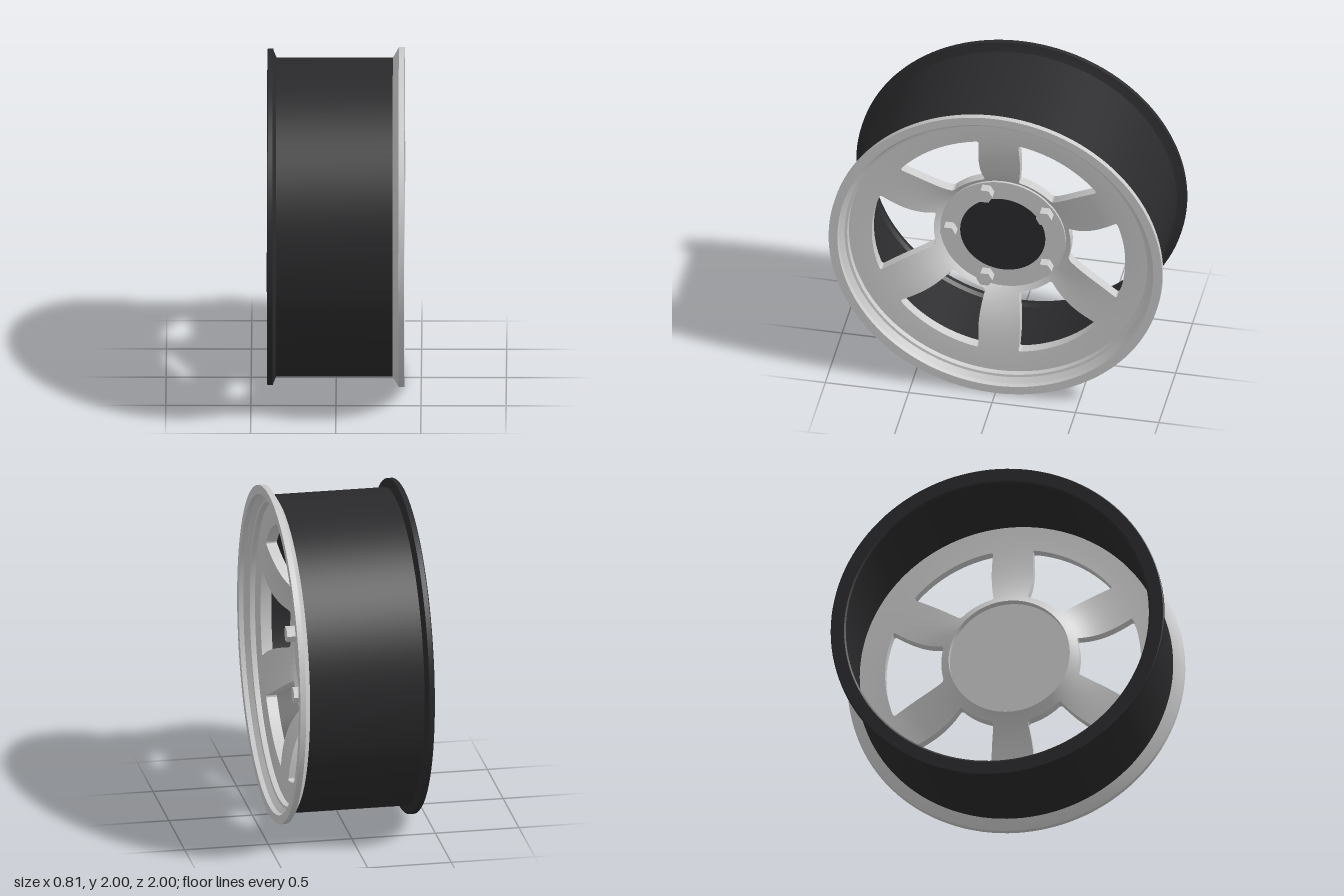
import * as THREE from 'three';
import { toCreasedNormals } from 'three/addons/utils/BufferGeometryUtils.js';

const grey = new THREE.MeshStandardMaterial({ color: 0xcccccc });
const dark = new THREE.MeshStandardMaterial({ color: 0x2a2a2c });

const HUB = 0.375, WIN_IN = 0.41, WIN_OUT = 0.76, THICK = 0.065;

// Dished front face of the wheel: depth along the axle for a given radius
const face = r => 0.32 - 0.155 * Math.exp(-6.5 * (r - HUB));

// Revolved part around the local z axis; points are [radius, depth]
function turned(name, points, material) {
  const profile = points.map(([r, d]) => new THREE.Vector2(r, d));
  const geometry = new THREE.LatheGeometry(profile, 120).rotateX(Math.PI / 2);
  const mesh = new THREE.Mesh(toCreasedNormals(geometry, 0.4), material);
  mesh.name = name;
  return mesh;
}

// Closed ring that follows the dished face between two radii
function dishedRing(name, r0, r1, steps) {
  const front = [], back = [];
  for (let i = 0; i <= steps; i++) {
    const r = r0 + (r1 - r0) * i / steps;
    back.push([r, face(r) - THICK]);
    front.unshift([r, face(r)]);
  }
  return turned(name, [...back, ...front, back[0]], grey);
}

// Half width of a spoke, bowed along its length, with small corner fillets
function spokeHalfWidth(s) {
  const fillet = 0.016;
  const d = Math.min(s, 1 - s) * (WIN_OUT - WIN_IN);
  const flare = d < fillet ? fillet - Math.sqrt(fillet ** 2 - (fillet - d) ** 2) : 0;
  return 0.1 + 0.018 * s + 0.014 * Math.sin(Math.PI * s) + flare;
}

function spokeGeometry() {
  const geometry = new THREE.BoxGeometry(2, 1, 1, 8, 64, 1);
  const p = geometry.attributes.position;
  for (let i = 0; i < p.count; i++) {
    const s = p.getY(i) + 0.5;
    const r = WIN_IN - 0.001 + (WIN_OUT - WIN_IN + 0.002) * s;
    const x = p.getX(i) * spokeHalfWidth(s);
    p.setXYZ(i, x, Math.sqrt(r * r - x * x), face(r) - (p.getZ(i) < 0 ? THICK : 0));
  }
  geometry.computeVertexNormals();
  return geometry;
}

export function createModel() {
  const model = new THREE.Group();
  model.name = 'wheelRim';
  const wheel = new THREE.Group();
  wheel.name = 'wheel';
  model.add(wheel);

  // Dark barrel with its rear flange
  wheel.add(turned('barrel', [
    [0.9, -0.4], [0.91, -0.405], [0.985, -0.405], [0.99, -0.4], [0.99, -0.372], [0.975, -0.368],
    [0.938, -0.352], [0.938, 0.335], [0.912, 0.335], [0.912, -0.35], [0.9, -0.375], [0.9, -0.4],
  ], dark));

  // Front lip with stepped inner edge
  wheel.add(turned('frontLip', [
    [0.895, 0.27], [0.93, 0.33], [0.937, 0.332], [1, 0.368], [1, 0.402], [0.947, 0.402],
    [0.942, 0.375], [0.915, 0.348], [0.9, 0.345], [0.895, 0.31], [0.895, 0.27],
  ], grey));

  // Dished face: outer ring, inner ring and six spokes
  wheel.add(dishedRing('outerRing', WIN_OUT, 0.912, 6));
  wheel.add(dishedRing('innerRing', 0.36, WIN_IN, 6));
  const spokeShape = spokeGeometry();
  for (let i = 0; i < 6; i++) {
    const spoke = new THREE.Mesh(spokeShape, grey);
    spoke.name = 'spoke';
    spoke.rotation.z = i * Math.PI / 3;
    wheel.add(spoke);
  }

  // Hub plate and dark centre cap
  wheel.add(turned('hubPlate', [[0, 0.135], [HUB, 0.135], [HUB, 0.18], [0, 0.18]], grey));
  wheel.add(turned('centreCap', [[0, 0.16], [0.255, 0.16], [0.255, 0.183], [0, 0.183]], dark));

  // Five hexagonal bolts
  const boltShape = new THREE.CylinderGeometry(0.048, 0.048, 0.08, 6).rotateY(Math.PI / 6).rotateX(Math.PI / 2);
  const boltGeometry = toCreasedNormals(boltShape, 0.4);
  for (let i = 0; i < 5; i++) {
    const a = Math.PI + i * Math.PI * 2 / 5;
    const bolt = new THREE.Mesh(boltGeometry, grey);
    bolt.name = 'bolt';
    bolt.position.set(0.318 * Math.cos(a), 0.318 * Math.sin(a), 0.2);
    wheel.add(bolt);
  }

  // Turn the axle onto x and stand the wheel on the ground
  wheel.rotation.y = Math.PI / 2;
  wheel.position.y = 1;
  return model;
}
